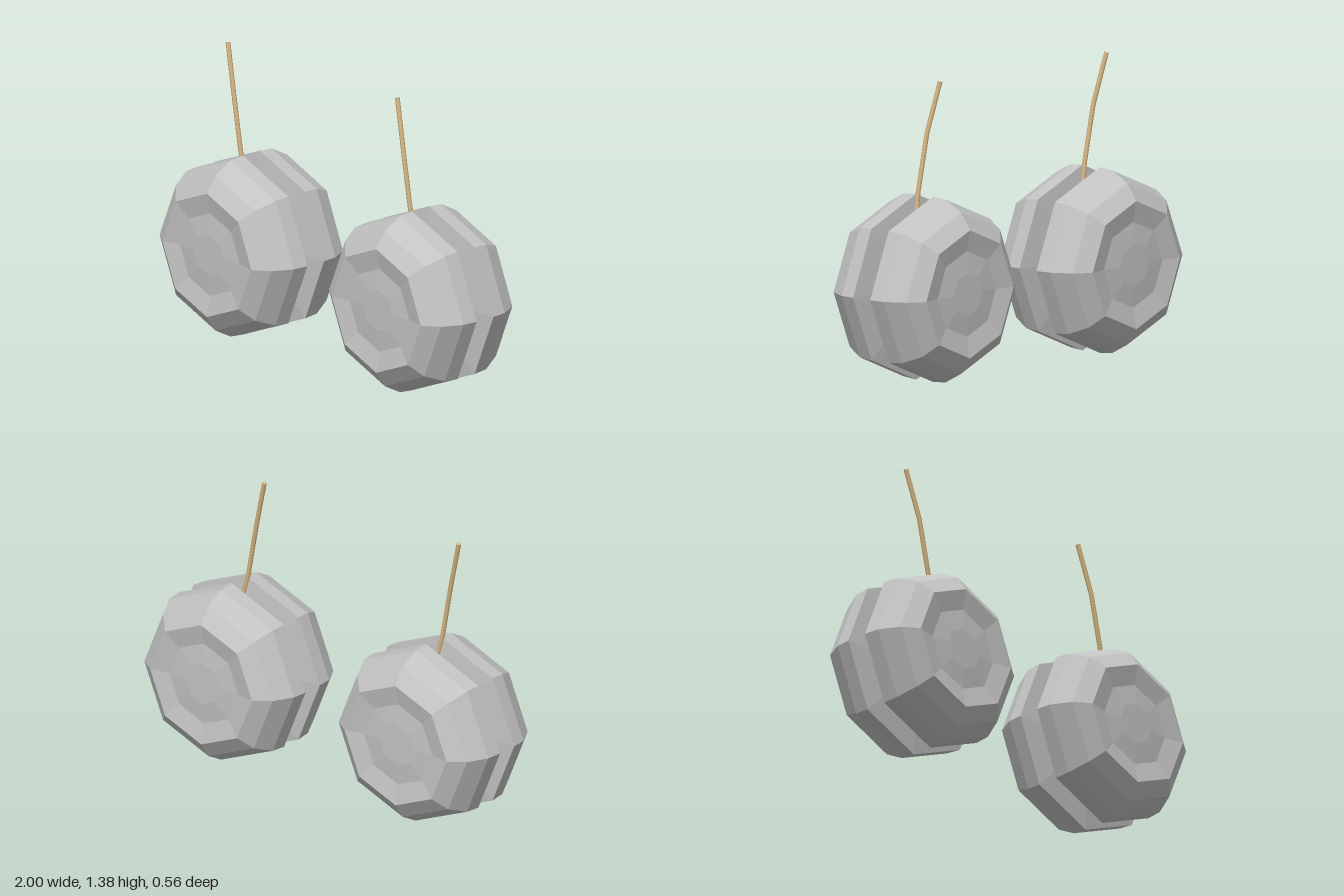
import * as THREE from 'three';

const metal = new THREE.MeshStandardMaterial({ color: 0xc2c2c2 });
metal.name = 'grey';
const cord = new THREE.MeshStandardMaterial({ color: 0xd6b480 });
cord.name = 'tan';

const CENTRE_Y = 0.433;
const STRING_RADIUS = 0.011;

function part(name, geometry, material) {
  const mesh = new THREE.Mesh(geometry, material);
  mesh.name = name;
  return mesh;
}

// Eight-sided faceted lathe whose axis runs along z; profile holds [radius, z]
function facetedLathe(profile) {
  const points = profile.map(([r, z]) => new THREE.Vector2(r, z));
  const geometry = new THREE.LatheGeometry(points, 8).rotateX(Math.PI / 2).toNonIndexed();
  geometry.computeVertexNormals();
  return geometry;
}

// String path, offsets from the yo-yo's centre; sampled at its own points so the bends stay sharp
const stringPath = new THREE.CatmullRomCurve3([
  [0.07, 0.045, 0.01], [0.03, 0.25, 0.036], [-0.013, 0.44, 0.053],
  [-0.066, 0.705, 0.047], [-0.131, 0.942, 0.024],
].map((p) => new THREE.Vector3(...p)));
stringPath.getPointAt = (t, target) => stringPath.getPoint(t, target);
stringPath.getTangentAt = (t, target) => stringPath.getTangent(t, target);

function createYoyo(name, x) {
  const yoyo = new THREE.Group();
  yoyo.name = name;
  yoyo.position.set(x, CENTRE_Y, 0);

  // Two halves: sloped inner face, rounded rim, shallow groove around a slightly raised hub
  const half = facetedLathe([
    [0, 0.013], [0.08, 0.015], [0.432, 0.053], [0.425, 0.13], [0.375, 0.225],
    [0.298, 0.28], [0.2, 0.26], [0.1, 0.269], [0, 0.269],
  ]);
  const front = part('frontHalf', half, metal);
  const back = part('backHalf', half, metal);
  back.rotation.y = Math.PI;

  // Axle joining the halves
  const axle = part('axle', facetedLathe([[0.08, -0.02], [0.08, 0.02]]), metal);

  // String with end caps
  const tube = new THREE.TubeGeometry(stringPath, 4, STRING_RADIUS, 8, false);
  yoyo.add(front, back, axle, part('string', tube, cord));
  for (const t of [0, 1]) {
    const cap = part('stringEnd', new THREE.CircleGeometry(STRING_RADIUS, 8), cord);
    const out = stringPath.getTangent(t).multiplyScalar(t ? 1 : -1);
    cap.position.copy(stringPath.getPoint(t));
    cap.quaternion.setFromUnitVectors(new THREE.Vector3(0, 0, 1), out);
    yoyo.add(cap);
  }
  return yoyo;
}

export function createModel() {
  const model = new THREE.Group();
  model.name = 'yoyoPair';
  model.add(createYoyo('leftYoyo', 0.568), createYoyo('rightYoyo', -0.568));
  return model;
}
